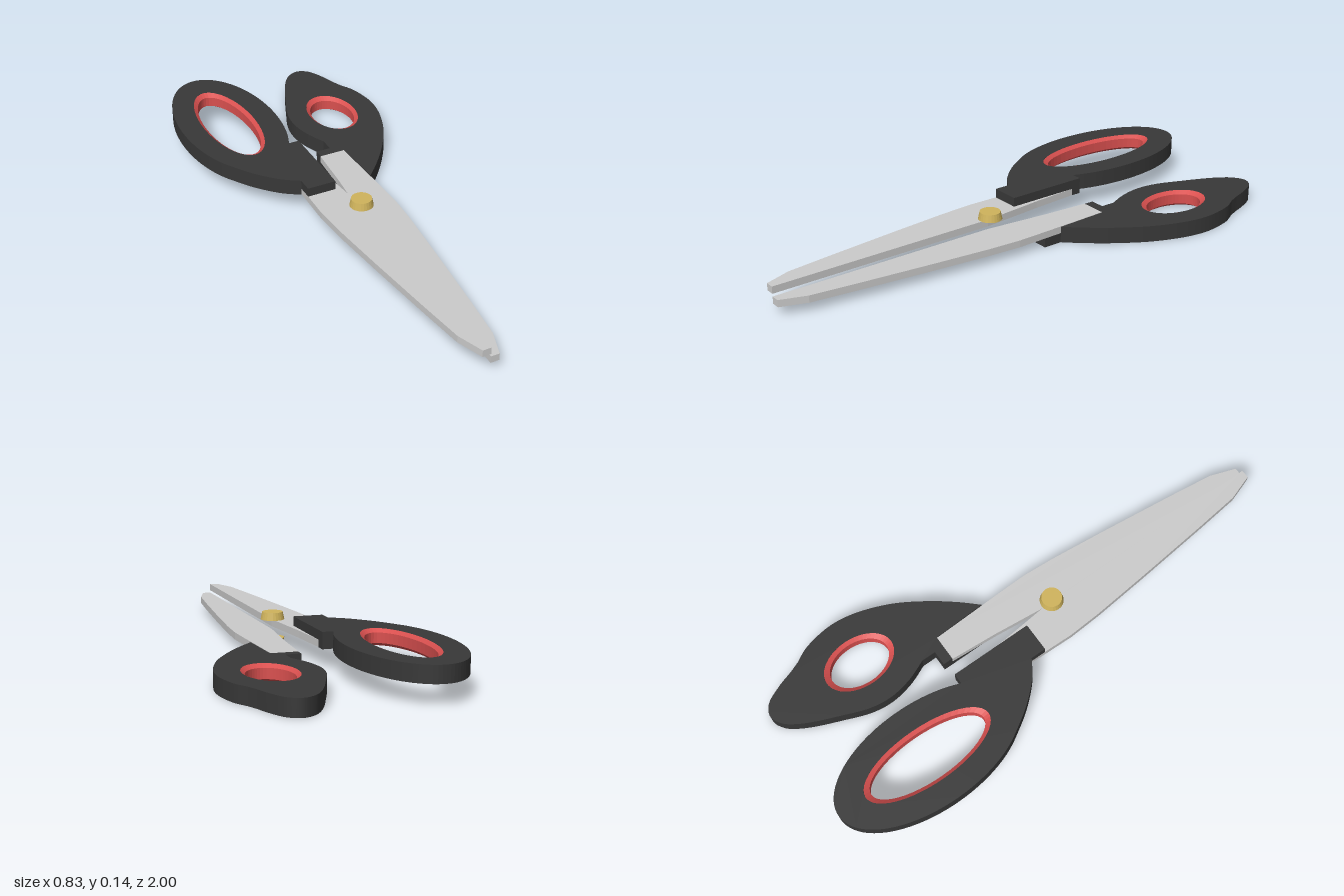
import * as THREE from 'three';

const mat = (color) => new THREE.MeshStandardMaterial({ color, flatShading: true, side: THREE.DoubleSide });
const black = mat(0x383838), red = mat(0xd9504f), steel = mat(0xcccccc), brass = mat(0xd0b45c);
const vecs = (pts) => pts.map(([x, z]) => new THREE.Vector2(x, z));

// Flat plate: shape is drawn in (x, z) and fills y0..y1
function plate(name, shape, y0, y1, material) {
  const g = new THREE.ExtrudeGeometry(shape, { depth: y1 - y0, bevelEnabled: false, curveSegments: 32 });
  g.rotateX(Math.PI / 2).translate(0, y1, 0);
  const m = new THREE.Mesh(g, material);
  m.name = name;
  return m;
}

function addHole(shape, { x, z, rx, rz }) {
  const hole = new THREE.Path();
  hole.absellipse(x, z, rx, rz, 0, Math.PI * 2, true);
  shape.holes.push(hole);
  return shape;
}

// Elliptical lining with chamfered lips at both faces
function lining(name, { x, z, rx, rz }, y0, y1) {
  const t = 0.014, c = 0.012;
  const profile = [[0, y0], [-t, y0 + c], [-t, y1 - c], [0, y1], [0, y0]];
  const g = new THREE.LatheGeometry(vecs(profile.map(([o, y]) => [1 + o, y])), 48);
  const p = g.attributes.position;
  for (let i = 0; i < p.count; i++) {
    const r = Math.hypot(p.getX(i), p.getZ(i)), o = r - 1;
    p.setX(i, (p.getX(i) / r) * (rx + o));
    p.setZ(i, (p.getZ(i) / r) * (rz + o * 1.6));
  }
  g.computeVertexNormals();
  const m = new THREE.Mesh(g, red);
  m.name = name;
  m.position.set(x, 0, z);
  return m;
}

// Blade outline; side = +1 or -1 mirrors it across x = 0
function bladeShape(side) {
  const pts = [[0.038, -0.335], [0.025, -0.15], [0.005, 0.05], [0, 0.1], [0, 1], [0.033, 1], [0.068, 0.9],
    [0.09, 0.72], [0.122, 0.43], [0.145, 0.2], [0.153, 0.07], [0.15, -0.05], [0.14, -0.335]];
  return new THREE.Shape(vecs(pts.map(([x, z]) => [x * side, z])));
}

// Large finger loop; the notched version leaves room for the blade
function largeHandle(notched) {
  const s = new THREE.Shape();
  s.absellipse(-0.225, -0.62, 0.193, 0.38, 0.708, 2.25, true);
  s.splineThru(vecs([[-0.288, -0.235], [-0.215, -0.155], [-0.15, -0.11]]));
  const end = notched ? [[-0.142, -0.335], [-0.037, -0.335]] : [[-0.15, -0.05], [-0.037, -0.05]];
  [...end, [-0.037, -0.373]].forEach(([x, z]) => s.lineTo(x, z));
  return s;
}

// Small thumb loop with a pointed back end
function smallHandle(notched) {
  const s = new THREE.Shape();
  s.moveTo(0.098, -0.43);
  s.splineThru(vecs([[0.065, -0.51], [0.049, -0.6], [0.06, -0.69], [0.1, -0.796], [0.135, -0.88], [0.167, -0.94],
    [0.2, -0.98], [0.246, -1], [0.292, -0.975], [0.325, -0.91], [0.345, -0.85], [0.362, -0.807]]));
  s.splineThru(vecs([[0.395, -0.74], [0.413, -0.63], [0.398, -0.52], [0.35, -0.394], [0.28, -0.28],
    [0.21, -0.19], [0.15, -0.125]]));
  const end = notched ? [[0.142, -0.335], [0.04, -0.335]] : [[0.15, -0.05], [0.04, -0.05]];
  [...end, [0.04, -0.373], [0.098, -0.373]].forEach(([x, z]) => s.lineTo(x, z));
  return s;
}

function rivet(name, y0, y1, rBottom, rTop) {
  const m = new THREE.Mesh(new THREE.CylinderGeometry(rTop, rBottom, y1 - y0, 24), brass);
  m.name = name;
  m.position.set(0, (y0 + y1) / 2, 0.09);
  return m;
}

export function createModel() {
  const model = new THREE.Group();
  model.name = 'scissors';
  const bigHole = { x: -0.227, z: -0.622, rx: 0.104, rz: 0.265 };
  const smallHole = { x: 0.23, z: -0.622, rx: 0.096, rz: 0.142 };

  // Upper half: blade under the handle cover
  const upper = new THREE.Group();
  upper.name = 'upperHalf';
  upper.add(
    plate('upperBlade', bladeShape(-1), 0.073, 0.1, steel),
    plate('largeHandleCover', addHole(largeHandle(false), bigHole), 0.1, 0.135, black),
    plate('largeHandleCore', addHole(largeHandle(true), bigHole), 0.073, 0.1, black),
    lining('largeHandleLining', bigHole, 0.073, 0.135));

  // Lower half: blade on top of the handle cover
  const lower = new THREE.Group();
  lower.name = 'lowerHalf';
  lower.add(
    plate('lowerBlade', bladeShape(1), 0.036, 0.063, steel),
    plate('smallHandleCover', addHole(smallHandle(false), smallHole), 0, 0.036, black),
    plate('smallHandleCore', addHole(smallHandle(true), smallHole), 0.036, 0.063, black),
    lining('smallHandleLining', smallHole, 0, 0.063));

  // Pivot rivet heads
  model.add(upper, lower,
    rivet('topRivet', 0.103, 0.132, 0.045, 0.039),
    rivet('bottomRivet', 0.004, 0.034, 0.039, 0.045));
  return model;
}
